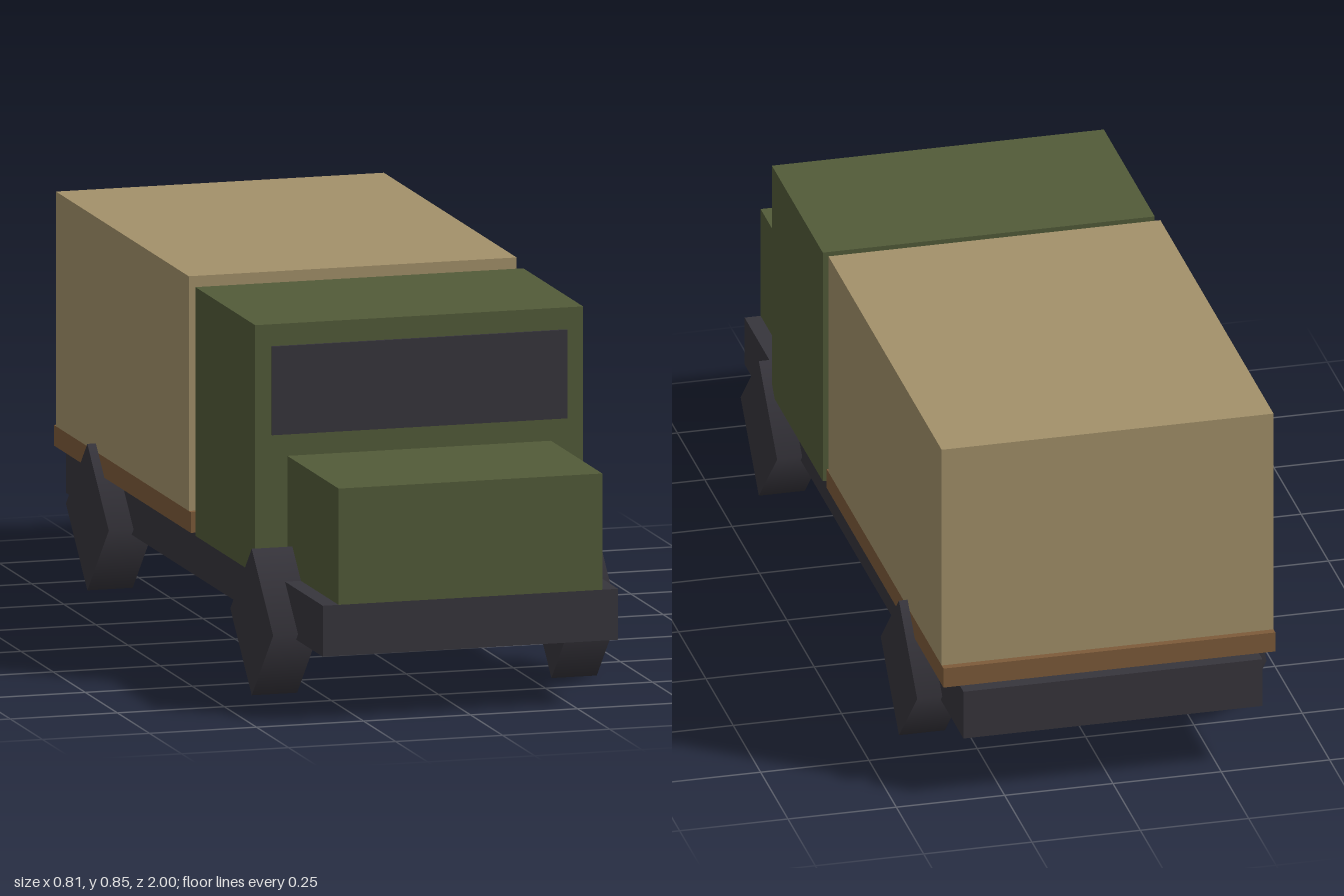
import * as THREE from 'three';

const mat = (name, color) => {
  const m = new THREE.MeshStandardMaterial({ color });
  m.name = name;
  return m;
};

export function createModel() {
  const truck = new THREE.Group();
  truck.name = 'truck';
  const green = mat('olive green', 0x525b39);
  const dark = mat('dark grey', 0x37353c);
  const tan = mat('canvas tan', 0xa3916a);
  const brown = mat('wood brown', 0x7d5b3a);

  // Box centred on x, given its half width and its y and z ranges
  const box = (name, material, halfW, y0, y1, z0, z1) => {
    const mesh = new THREE.Mesh(new THREE.BoxGeometry(halfW * 2, y1 - y0, z1 - z0), material);
    mesh.position.set(0, (y0 + y1) / 2, (z0 + z1) / 2);
    mesh.name = name;
    truck.add(mesh);
  };

  box('chassis', dark, 0.345, 0.152, 0.268, -1, 1);
  box('hood', green, 0.308, 0.268, 0.533, 0.6, 1);
  box('cab', green, 0.383, 0.268, 0.835, 0.135, 0.6);
  box('windshield', dark, 0.345, 0.583, 0.785, 0.599, 0.606);
  box('cargoBed', brown, 0.383, 0.268, 0.315, -0.968, 0.099);
  box('canvasCover', tan, 0.383, 0.315, 0.85, -0.951, 0.083);

  // Four-sided wheels standing on a corner
  const wheelGeometry = new THREE.CylinderGeometry(0.167, 0.167, 0.106, 4).rotateZ(Math.PI / 2);
  for (const [end, z] of [['front', 0.64], ['rear', -0.64]]) {
    for (const [side, x] of [['Left', 0.35], ['Right', -0.35]]) {
      const wheel = new THREE.Mesh(wheelGeometry, dark);
      wheel.position.set(x, 0.167, z);
      wheel.name = `${end}${side}Wheel`;
      truck.add(wheel);
    }
  }
  return truck;
}
